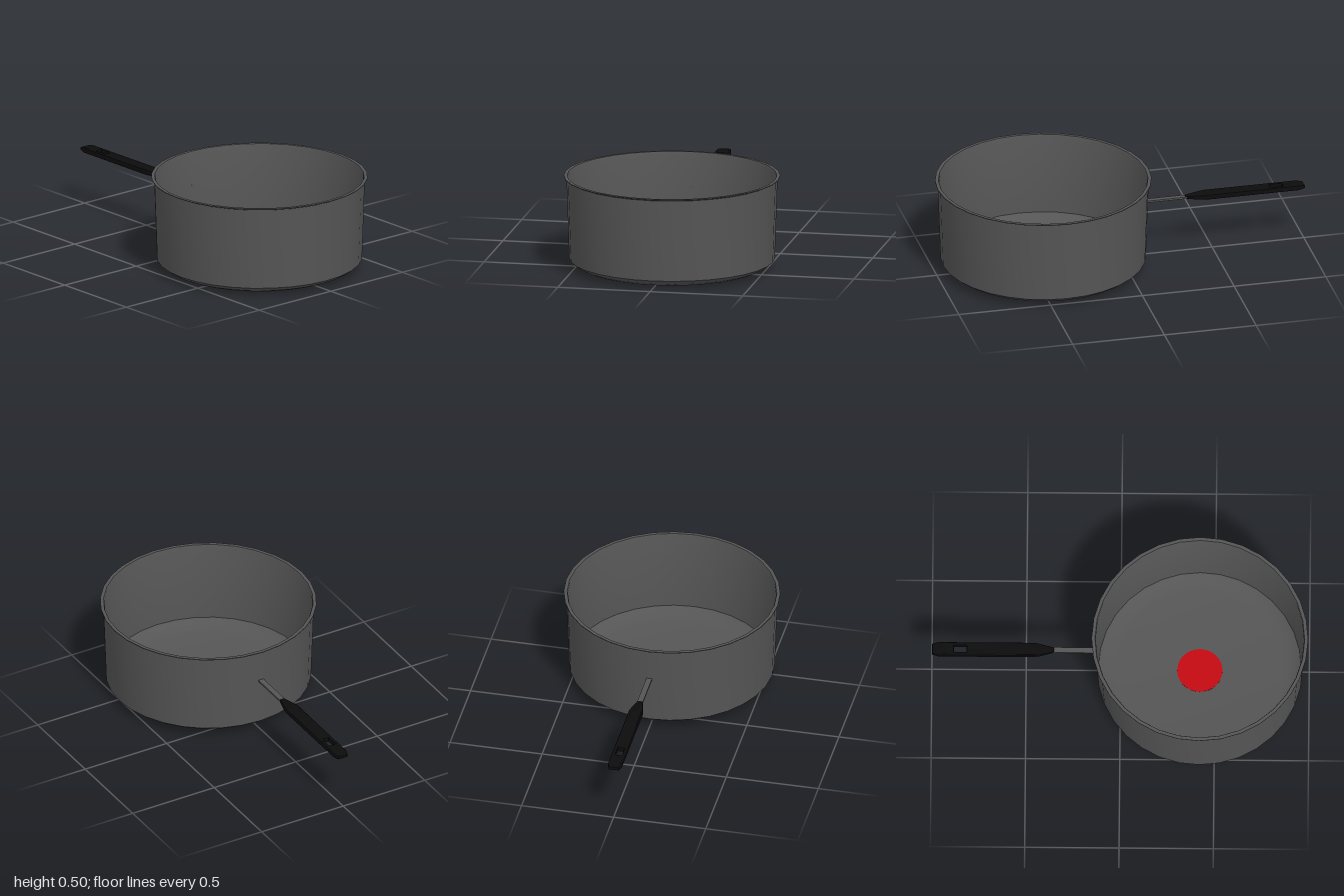
import * as THREE from 'three';
import { toCreasedNormals } from 'three/addons/utils/BufferGeometryUtils.js';

const PAN_X = 0.42;
const HANDLE_Y = 0.31;
const SEGMENTS = 32;

function addMesh(parent, name, geometry, color) {
  const mesh = new THREE.Mesh(geometry, new THREE.MeshStandardMaterial({ color }));
  mesh.name = name;
  parent.add(mesh);
  return mesh;
}

// Flat grip outline with tapered neck, bevelled edges and a hanging slot
function gripGeometry() {
  const half = [[-0.992, 0.022], [-0.965, 0.03], [-0.46, 0.03], [-0.43, 0.025], [-0.36, 0.007]];
  const outline = [...half.map(([x, w]) => [x, -w]), ...half.map(([x, w]) => [x, w]).reverse()];
  const shape = new THREE.Shape(outline.map(([x, w]) => new THREE.Vector2(x, w)));
  const slot = [[-0.892, -0.025], [-0.892, 0.025], [-0.808, 0.025], [-0.808, -0.025]];
  shape.holes.push(new THREE.Path(slot.map(([x, w]) => new THREE.Vector2(x, w))));
  const geometry = new THREE.ExtrudeGeometry(shape, {
    depth: 0.014, bevelThickness: 0.008, bevelSize: 0.008, bevelSegments: 2, steps: 1,
  });
  geometry.translate(0, 0, -0.007).rotateX(-Math.PI / 2);
  // Thin the grip towards both ends
  const p = geometry.attributes.position;
  for (let i = 0; i < p.count; i++) {
    const x = p.getX(i);
    const neck = THREE.MathUtils.smoothstep(x, -0.47, -0.35);
    const tip = THREE.MathUtils.smoothstep(-x, 0.955, 1);
    p.setY(i, p.getY(i) * (1 - 0.5 * neck - 0.35 * tip));
  }
  return toCreasedNormals(geometry, 0.5);
}

export function createModel() {
  const model = new THREE.Group();
  model.name = 'saucepan';

  // Pot: outer base and wall, flared lip, then inner wall and floor
  const profile = [
    [0, 0.001], [0.22, 0.002], [0.44, 0.005], [0.48, 0.012], [0.515, 0.027], [0.545, 0.05],
    [0.56, 0.49], [0.574, 0.496], [0.574, 0.5], [0.556, 0.5], [0.552, 0.49],
    [0.537, 0.054], [0.51, 0.034], [0.475, 0.02], [0.44, 0.014], [0, 0.012],
  ].map(([r, y]) => new THREE.Vector2(r, y));
  const pot = addMesh(model, 'pot',
    toCreasedNormals(new THREE.LatheGeometry(profile, SEGMENTS), 0.65), 0x555555);
  pot.position.x = PAN_X;

  // Red discs on the inside floor and under the base
  for (const [name, y] of [['floorDisc', 0.0135], ['baseDisc', 0.001]]) {
    const disc = addMesh(model, name, new THREE.CylinderGeometry(0.12, 0.12, 0.002, SEGMENTS), 0xc40a12);
    disc.position.set(PAN_X, y, 0);
  }

  // Handle: metal strap from the wall into the grip
  const handle = new THREE.Group();
  handle.name = 'handle';
  handle.position.y = HANDLE_Y;
  model.add(handle);
  const strap = addMesh(handle, 'strap', new THREE.BoxGeometry(0.26, 0.01, 0.03), 0x555555);
  strap.position.x = -0.255;
  addMesh(handle, 'grip', gripGeometry(), 0x0c0c0c);

  return model;
}
